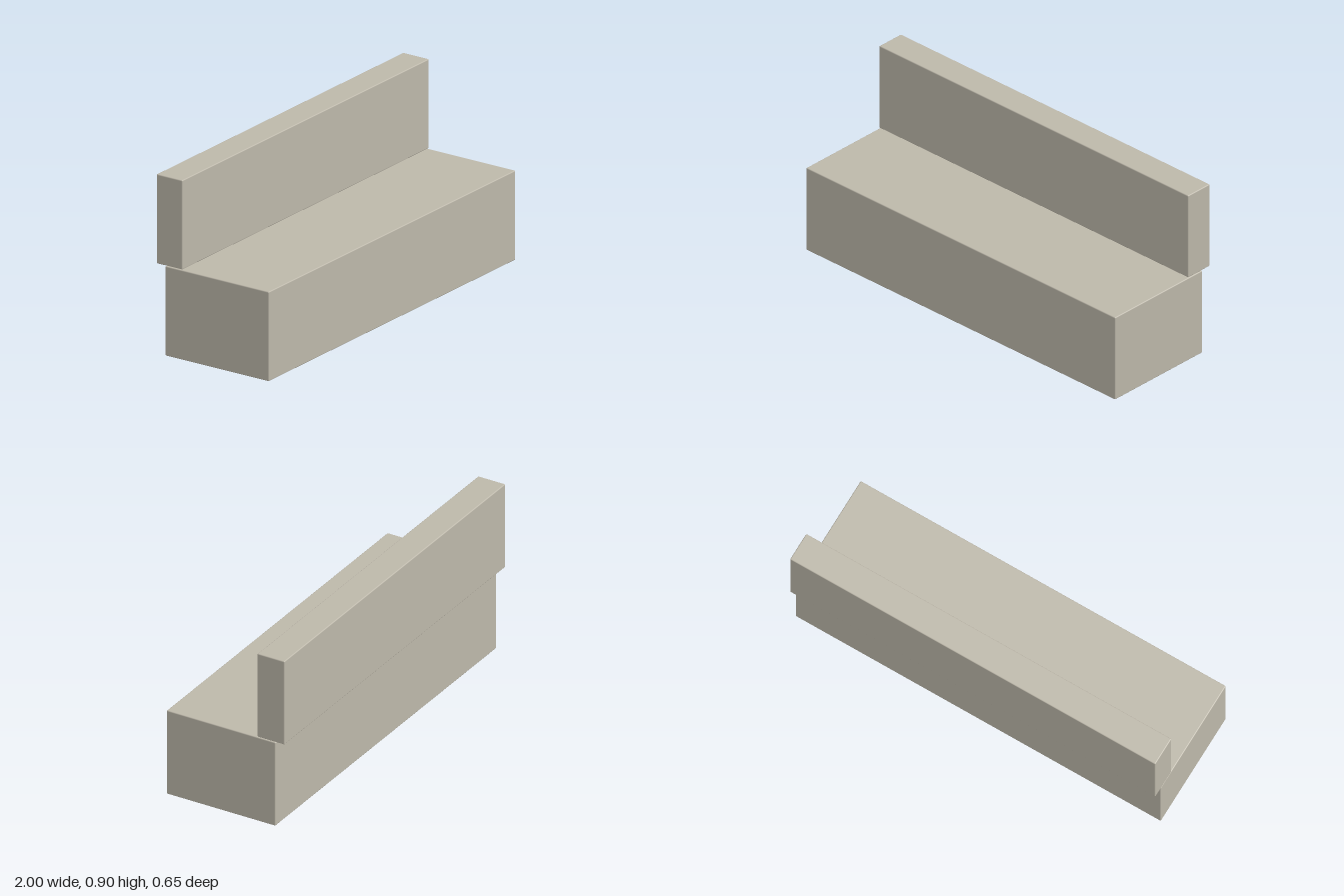
import * as THREE from 'three';
import { RoundedBoxGeometry } from 'three/addons/geometries/RoundedBoxGeometry.js';

export function createModel() {
  const model = new THREE.Group();
  model.name = 'bench';

  const stone = new THREE.MeshStandardMaterial({ color: 0xbdb8aa });
  stone.name = 'warm grey stone';

  // Full-width block with slightly eased edges, given by its y and z extents
  const addBlock = (name, y0, y1, z0, z1) => {
    const block = new THREE.Mesh(new RoundedBoxGeometry(2, y1 - y0, z1 - z0, 2, 0.005), stone);
    block.name = name;
    block.position.set(0, (y0 + y1) / 2, (z0 + z1) / 2);
    model.add(block);
  };

  addBlock('seat', 0, 0.449, -0.274, 0.324);
  // The backrest overhangs the rear of the seat, with a hairline joint below it
  addBlock('backrest', 0.452, 0.9, -0.324, -0.175);

  return model;
}
